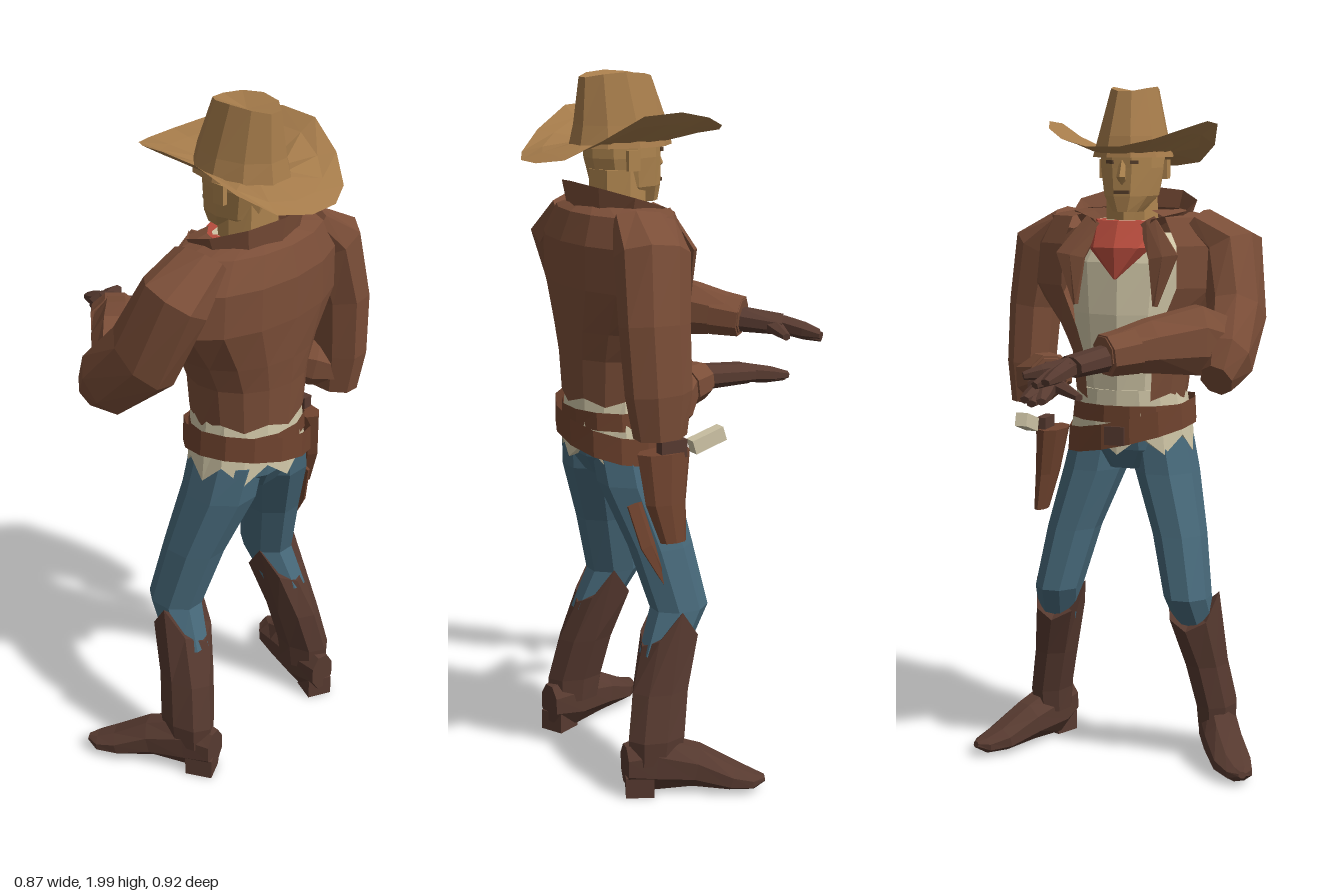
import * as THREE from 'three';

const V = (p) => new THREE.Vector3(...p);
const mat = (name, color, side = THREE.FrontSide) => {
  const m = new THREE.MeshStandardMaterial({ color, flatShading: true, side });
  m.name = name;
  return m;
};

// Skin a list of point rings; closed rings wrap and get end caps
function skin(rings, closed = true, dip = 0) {
  const out = [], n = rings[0].length;
  const tri = (a, b, c) => [a, b, c].forEach((p) => out.push(p.x, p.y, p.z));
  for (let j = 0; j < rings.length - 1; j++) {
    for (let i = 0; i < (closed ? n : n - 1); i++) {
      const k = (i + 1) % n, A = rings[j], B = rings[j + 1];
      tri(A[i], B[i], A[k]);
      tri(A[k], B[i], B[k]);
    }
  }
  if (closed) {
    const middle = (r) => r.reduce((s, p) => s.add(p), V([0, 0, 0])).divideScalar(n);
    const first = rings[0], last = rings[rings.length - 1];
    const cb = middle(first), ct = middle(last);
    ct.y -= dip;
    for (let i = 0; i < n; i++) {
      const k = (i + 1) % n;
      tri(first[i], first[k], cb);
      tri(last[k], last[i], ct);
    }
  }
  const g = new THREE.BufferGeometry();
  g.setAttribute('position', new THREE.Float32BufferAttribute(out, 3));
  g.computeVertexNormals();
  return g;
}

// Level rings [y, cx, cz, rx, rz], bottom to top; shift(a, ring, i) returns a height offset
function stack(rows, { n = 10, start = 0, span = 360, open = span < 360, shift = () => 0, dip = 0 } = {}) {
  const count = open ? n + 1 : n;
  const rings = rows.map(([y, cx, cz, rx, rz], j) => Array.from({ length: count }, (_, i) => {
    const a = THREE.MathUtils.degToRad(start + (span * i) / n);
    return V([cx + rx * Math.cos(a), y + shift(a, j, i), cz + rz * Math.sin(a)]);
  }));
  return skin(rings, !open, dip);
}

// Oval sections [x, y, z, width, height] across a path
function limb(rows, ref = [0, 1, 0], n = 8) {
  const pts = rows.map((r) => V(r.slice(0, 3)));
  const rings = rows.map((r, j) => {
    const t = pts[Math.min(j + 1, pts.length - 1)].clone().sub(pts[Math.max(j - 1, 0)]).normalize();
    const u = t.clone().cross(V(ref)).normalize(), v = u.clone().cross(t);
    return Array.from({ length: n }, (_, i) => {
      const a = ((i + 0.5) / n) * Math.PI * 2;
      return pts[j].clone().addScaledVector(u, r[3] * Math.cos(a)).addScaledVector(v, r[4] * Math.sin(a));
    });
  });
  return skin(rings);
}

export function createModel() {
  const model = new THREE.Group();
  model.name = 'cowhand';
  const leather = mat('jacket brown', 0x7b4e38, THREE.DoubleSide);
  const dark = mat('dark leather', 0x573a30);
  const denim = mat('denim blue', 0x47697a);
  const straw = mat('hat tan', 0xa67c4b, THREE.DoubleSide);
  const face = mat('skin', 0xb08650);
  const cream = mat('cream cloth', 0xcfc5a6);
  const red = mat('scarf red', 0xb54b3c, THREE.DoubleSide);
  const belt = mat('belt brown', 0x71442f, THREE.DoubleSide);
  const hair = mat('hair brown', 0x59402c);

  const add = (name, geometry, material, parent = model) => {
    const m = new THREE.Mesh(geometry, material);
    m.name = name;
    parent.add(m);
    return m;
  };
  const box = (name, size, pos, material, rot = [0, 0, 0], parent = model) => {
    const m = add(name, new THREE.BoxGeometry(...size), material, parent);
    m.position.set(...pos);
    m.rotation.set(...rot);
  };

  // Hat: brim curled up at the sides and down behind, pinched crown
  const brimLift = (a, j) => {
    const c = Math.cos(a) ** 2;
    const edge = Math.sin(a) > 0 ? 0.095 * c * c - 0.042 * (1 - c * c) : 0.095 * c + 0.02 * (1 - c);
    return edge * [0, 0.6, 1][j];
  };
  add('hatBrim', stack([[1.81, -0.01, 0.18, 0.1, 0.13], [1.812, -0.01, 0.178, 0.195, 0.225],
    [1.81, -0.01, 0.176, 0.242, 0.288]], { n: 16, start: 11, open: true, shift: brimLift }), straw);
  add('hatCrown', stack([[1.8, -0.01, 0.18, 0.118, 0.148], [1.86, -0.01, 0.18, 0.1, 0.135],
    [1.985, -0.01, 0.195, 0.066, 0.105]],
  { n: 10, dip: 0.02, shift: (a, j) => (j === 2 ? 0.015 * Math.cos(a) ** 2 : 0) }), straw);

  // Head
  add('neck', stack([[1.52, 0, 0.2, 0.08, 0.08], [1.74, 0, 0.195, 0.078, 0.085]], { n: 8 }), face);
  add('head', stack([[1.645, -0.01, 0.135, 0.045, 0.065], [1.69, -0.01, 0.165, 0.08, 0.1],
    [1.77, -0.01, 0.175, 0.094, 0.11], [1.85, -0.01, 0.175, 0.097, 0.112]], { n: 10 }), face);
  add('nose', limb([[-0.01, 1.79, 0.078, 0.01, 0.01], [-0.01, 1.745, 0.064, 0.017, 0.014],
    [-0.01, 1.73, 0.078, 0.012, 0.01]], [1, 0, 0], 5), face);
  box('mouth', [0.045, 0.01, 0.009], [-0.01, 1.702, 0.067], hair);
  for (const s of [-1, 1]) {
    box('ear', [0.016, 0.055, 0.035], [-0.01 + s * 0.095, 1.765, 0.19], face);
    box('eye', [0.024, 0.01, 0.009], [-0.01 + s * 0.036, 1.787, 0.073], hair, [0, s * -0.3, 0]);
  }

  // Shirt, ragged shirt tail and scarf
  add('shirt', stack([[1.08, 0, 0.2, 0.15, 0.14], [1.35, 0, 0.2, 0.18, 0.15],
    [1.5, 0, 0.2, 0.2, 0.14], [1.62, 0, 0.2, 0.1, 0.1]], { n: 12 }), cream);
  add('shirtTail', stack([[0.97, 0, 0.205, 0.188, 0.15], [1.13, 0, 0.2, 0.165, 0.145]],
    { n: 16, shift: (a, j, i) => (j ? 0 : (i % 2) * 0.055 - 0.03) }), cream);
  add('scarf', stack([[1.455, 0, 0.036, 0.004, 0.004], [1.545, 0, 0.08, 0.095, 0.055],
    [1.62, 0, 0.165, 0.1, 0.1]], { n: 8 }), red);

  // Open jacket, broad at the shoulders, with a flared collar
  add('jacket', stack([[1.1, 0, 0.2, 0.168, 0.155], [1.23, 0, 0.2, 0.182, 0.16], [1.31, 0, 0.2, 0.22, 0.166],
    [1.43, 0, 0.205, 0.305, 0.168], [1.55, 0, 0.21, 0.3, 0.162], [1.63, 0.01, 0.21, 0.245, 0.135],
    [1.65, 0, 0.21, 0.14, 0.1]],
  { n: 12, start: -55, span: 290, shift: (a, j, i) => (j ? 0 : (i % 2) * 0.02) }), leather);
  add('collar', stack([[1.585, -0.01, 0.2, 0.15, 0.115], [1.665, -0.01, 0.195, 0.185, 0.14]],
    { n: 8, start: -62, span: 304, shift: (a, j) => (j ? 0.045 * Math.sin(a) : 0) }), leather);
  for (const s of [-1, 1]) {
    add('lapel', limb([[s * 0.08, 1.62, 0.09, 0.03, 0.008], [s * 0.14, 1.52, 0.052, 0.05, 0.01],
      [s * 0.12, 1.38, 0.038, 0.008, 0.006]], [0, 0, 1], 6), leather);
  }

  // Waist belt, slanted gun belt, buckle, holster and pistol
  add('waistBelt', stack([[1.035, 0, 0.203, 0.182, 0.152], [1.085, 0, 0.203, 0.176, 0.152]], { n: 14, open: true }), belt);
  add('gunBelt', stack([[0.98, 0, 0.205, 0.197, 0.17], [1.055, 0, 0.205, 0.192, 0.17]],
    { n: 14, open: true, shift: (a) => -0.045 * Math.cos(a) + 0.015 * Math.sin(a) }), belt);
  box('buckle', [0.06, 0.055, 0.009], [0, 1.0, 0.032], dark);
  add('holster', stack([[0.74, 0.28, 0.175, 0.02, 0.04], [0.85, 0.265, 0.19, 0.033, 0.062],
    [0.99, 0.245, 0.185, 0.045, 0.082]], { n: 8 }), belt);
  box('pistolFrame', [0.03, 0.05, 0.08], [0.265, 1.0, 0.17], dark);
  box('pistolGrip', [0.036, 0.04, 0.1], [0.288, 1.02, 0.075], cream, [0.3, 0, 0]);

  // Jeans and boots
  add('seat', stack([[0.89, 0, 0.205, 0.09, 0.09], [0.95, 0, 0.21, 0.18, 0.125],
    [1.06, 0, 0.205, 0.17, 0.14]], { n: 10 }), denim);
  for (const s of [-1, 1]) {
    const leg = new THREE.Group();
    leg.name = s > 0 ? 'legPositiveX' : 'legNegativeX';
    model.add(leg);
    add('jeansLeg', stack([[0.4, s * 0.22, 0.175, 0.06, 0.07], [0.52, s * 0.202, 0.115, 0.07, 0.085],
      [0.7, s * 0.165, 0.155, 0.08, 0.094], [0.88, s * 0.112, 0.2, 0.095, 0.114],
      [0.99, s * 0.092, 0.21, 0.09, 0.115]], { n: 8, start: 22.5 }), denim, leg);
    add('bootShaft', stack([[0.1, s * 0.265, 0.225, 0.058, 0.082], [0.17, s * 0.265, 0.22, 0.063, 0.09],
      [0.3, s * 0.24, 0.195, 0.067, 0.088], [0.45, s * 0.21, 0.15, 0.079, 0.087]],
    { n: 8, shift: (a, j) => (j === 3 ? 0.11 * Math.cos(a) ** 4 - 0.03 : 0) }), dark, leg);
    add('bootFoot', limb([[s * 0.25, 0.095, 0.315, 0.042, 0.062], [s * 0.265, 0.095, 0.23, 0.06, 0.085],
      [s * 0.312, 0.078, 0.12, 0.06, 0.062], [s * 0.365, 0.046, 0.03, 0.06, 0.038],
      [s * 0.4, 0.036, -0.02, 0.042, 0.024], [s * 0.415, 0.042, -0.045, 0.012, 0.01]]), dark, leg);
    box('bootHeel', [0.075, 0.06, 0.08], [s * 0.263, 0.036, 0.275], dark, [0, s * -0.45, 0], leg);
  }
  add('thighStrap', limb([[0.2, 0.84, 0.245, 0.035, 0.008], [0.222, 0.72, 0.215, 0.035, 0.008],
    [0.242, 0.58, 0.16, 0.01, 0.006]], [1, 0, 0], 6), belt);

  // Sleeves: folded arm on -x, lowered arm on +x
  const arm = (name, upper, fore, cuff) => {
    const g = new THREE.Group();
    g.name = name;
    model.add(g);
    add('upperSleeve', limb(upper, [0, 0, 1]), leather, g);
    add('foreSleeve', limb(fore), leather, g);
    add('cuff', limb(cuff), leather, g);
    return g;
  };
  const bent = arm('armNegativeX',
    [[-0.2, 1.62, 0.21, 0.04, 0.09], [-0.3, 1.54, 0.21, 0.09, 0.105], [-0.337, 1.36, 0.13, 0.082, 0.115],
      [-0.345, 1.24, 0.0, 0.073, 0.1], [-0.33, 1.19, -0.06, 0.05, 0.06]],
    [[-0.34, 1.28, 0.01, 0.05, 0.085], [-0.27, 1.3, -0.045, 0.068, 0.105], [-0.16, 1.29, -0.145, 0.07, 0.08],
      [-0.06, 1.275, -0.245, 0.062, 0.052]],
    [[-0.125, 1.282, -0.185, 0.075, 0.068], [-0.065, 1.272, -0.245, 0.072, 0.06]]);
  const low = arm('armPositiveX',
    [[0.2, 1.62, 0.22, 0.04, 0.09], [0.285, 1.54, 0.24, 0.09, 0.105], [0.325, 1.36, 0.255, 0.075, 0.1],
      [0.337, 1.18, 0.25, 0.07, 0.095], [0.335, 1.06, 0.245, 0.06, 0.075]],
    [[0.345, 1.12, 0.27, 0.06, 0.05], [0.295, 1.14, 0.205, 0.08, 0.08], [0.225, 1.16, 0.125, 0.062, 0.06],
      [0.2, 1.172, 0.04, 0.05, 0.047]],
    [[0.222, 1.162, 0.11, 0.066, 0.062], [0.208, 1.17, 0.06, 0.06, 0.056]]);

  // Gloves: palm, fingers and thumb
  const glove = (parent, wrist, palm, tips, thumbRoot, thumbTip) => {
    add('glovePalm', limb([[...wrist, 0.044, 0.038], [...palm, 0.056, 0.03]]), dark, parent);
    for (const tip of tips) {
      const mid = V(palm).lerp(V(tip), 0.6).toArray();
      add('gloveFinger', limb([[...palm, 0.034, 0.028], [...mid, 0.028, 0.022], [...tip, 0.015, 0.011]], [0, 1, 0], 6), dark, parent);
    }
    add('gloveThumb', limb([[...thumbRoot, 0.032, 0.024], [...thumbTip, 0.013, 0.011]], [0, 1, 0], 6), dark, parent);
  };
  glove(bent, [-0.07, 1.265, -0.24], [0.0, 1.25, -0.345],
    [[0.03, 1.22, -0.455], [0.065, 1.21, -0.443], [0.11, 1.23, -0.41]], [0.0, 1.25, -0.31], [0.105, 1.235, -0.295]);
  glove(low, [0.2, 1.175, 0.06], [0.155, 1.16, -0.12],
    [[0.12, 1.135, -0.25], [0.145, 1.13, -0.26], [0.165, 1.14, -0.26]], [0.15, 1.16, -0.07], [0.035, 1.14, -0.175]);

  return model;
}
